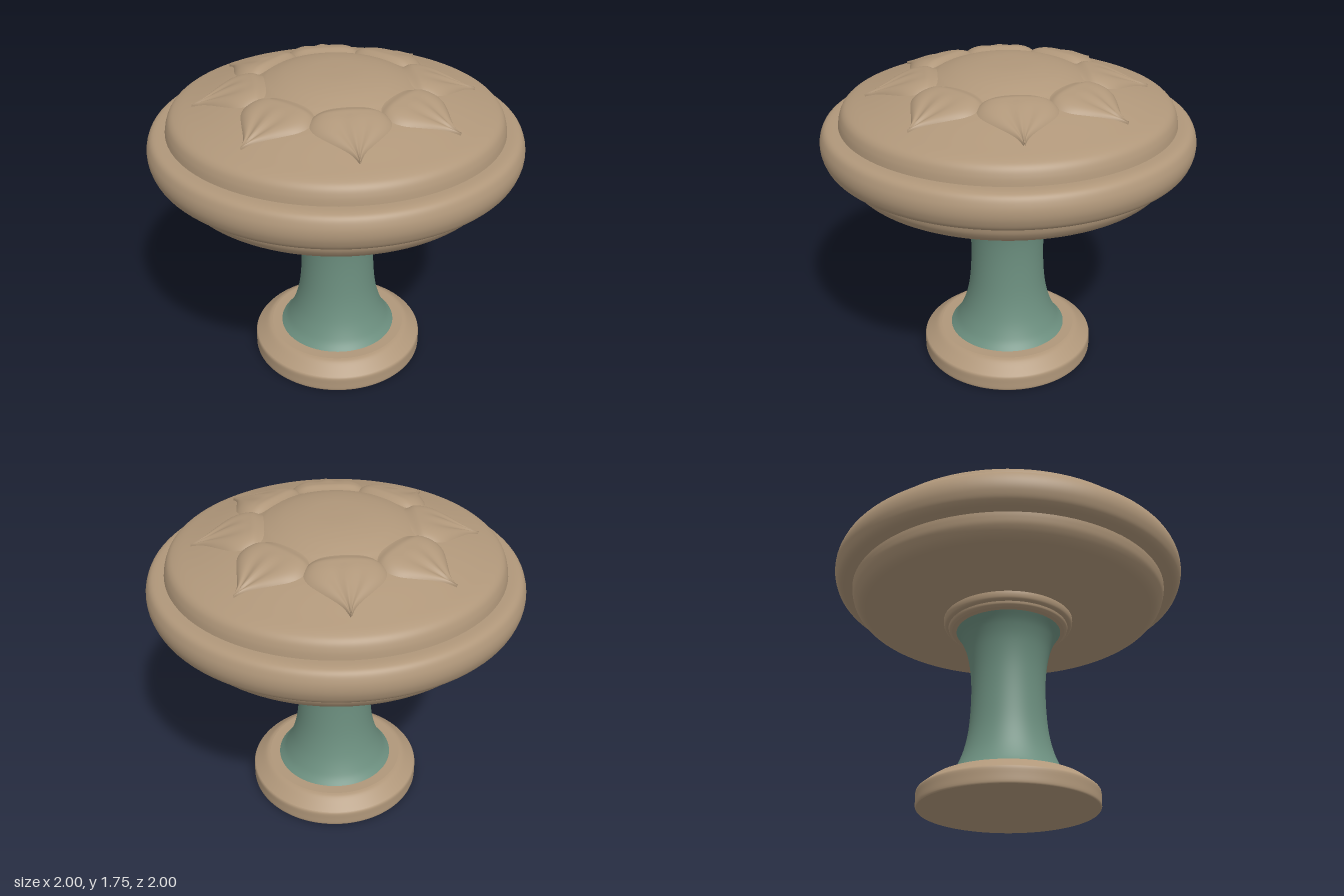
import * as THREE from 'three';

const tan = new THREE.MeshStandardMaterial({ color: 0xb0977a });
tan.name = 'warm tan';
const green = new THREE.MeshStandardMaterial({ color: 0x6c8f7f });
green.name = 'sage green';

const vec = (list) => list.map(([x, y]) => new THREE.Vector2(x, y));
const smooth = (list, n = 48) => new THREE.SplineCurve(vec(list)).getPoints(n);

// Height at x on a polyline with rising x
function sample(points, x) {
  for (let i = 1; i < points.length; i++) {
    const a = points[i - 1], b = points[i];
    if (x <= b.x) return a.y + (b.y - a.y) * Math.max(0, (x - a.x) / (b.x - a.x));
  }
  return points[points.length - 1].y;
}

// Turned part: points run from the bottom upwards
function turned(name, points, material) {
  const mesh = new THREE.Mesh(new THREE.LatheGeometry(points, 96), material);
  mesh.name = name;
  return mesh;
}

// Crown of the knob, from the centre outwards
const crown = smooth([
  [0, 1.75], [0.15, 1.745], [0.27, 1.726], [0.36, 1.697], [0.42, 1.67], [0.5, 1.655],
  [0.6, 1.63], [0.74, 1.585], [0.83, 1.555], [0.87, 1.53], [0.89, 1.49], [0.9, 1.44],
], 80);

// Half width of a petal against its distance from the axis
const petalWidth = smooth([
  [0.35, 0.1], [0.375, 0.15], [0.42, 0.19], [0.48, 0.205], [0.54, 0.185],
  [0.6, 0.13], [0.66, 0.065], [0.7, 0.028], [0.75, 0.002],
], 40);

// Swollen leaf with a midrib between two furrows, laid over the crown
function petalGeometry() {
  const geometry = new THREE.PlaneGeometry(1, 1, 32, 32);
  const p = geometry.attributes.position;
  const step = THREE.MathUtils.smoothstep;
  for (let i = 0; i < p.count; i++) {
    const v = Math.sin(p.getX(i) * Math.PI);
    const t = 0.5 - p.getY(i);
    const z = 0.35 + 0.4 * t;
    const x = v * sample(petalWidth, z);
    const swell = step(t, 0, 0.2) * (1 - 0.55 * step(t, 0.3, 1));
    const rib = step(t, 0.2, 0.65);
    const lobes = 1 - Math.pow(Math.abs(v), 5);
    const furrow = Math.exp(-Math.pow((Math.abs(v) - 0.28) / 0.16, 2));
    const ridge = Math.exp(-Math.pow(v / 0.14, 2));
    const h = 0.042 * swell * lobes + rib * (0.006 * ridge - 0.013 * furrow) * (1 - 0.5 * t) - 0.006;
    p.setXYZ(i, x, sample(crown, Math.hypot(x, z)) + h, z);
  }
  geometry.computeVertexNormals();
  return geometry;
}

export function createModel() {
  const model = new THREE.Group();
  model.name = 'knob';

  // Foot and waisted stem, a hair off the knob's axis
  const pillar = new THREE.Group();
  pillar.name = 'pillar';
  pillar.position.set(0.008, 0, 0.005);
  model.add(pillar);
  pillar.add(
    turned('footUnderside', vec([[0, 0], [0.485, 0]]), tan),
    turned('footSide', smooth([[0.485, 0], [0.49, 0.01], [0.49, 0.045], [0.49, 0.08], [0.484, 0.092]], 12), tan),
    turned('footBevel', smooth([[0.484, 0.092], [0.455, 0.115], [0.415, 0.145], [0.39, 0.153]], 12), tan),
    turned('footTop', vec([[0.39, 0.153], [0.28, 0.153]]), tan),
    turned('stem', smooth([
      [0.335, 0.15], [0.295, 0.2], [0.25, 0.3], [0.22, 0.43], [0.207, 0.6],
      [0.21, 0.76], [0.23, 0.89], [0.262, 0.98], [0.3, 1.04],
    ]), green),
  );

  // Collar under the head
  model.add(
    turned('collarUnderside', vec([[0.2, 1.035], [0.32, 1.035]]), tan),
    turned('collarLip', smooth([[0.32, 1.035], [0.335, 1.045], [0.34, 1.06]], 10), tan),
    turned('collar', smooth([[0.34, 1.06], [0.36, 1.067], [0.368, 1.09], [0.368, 1.12]], 16), tan),
  );

  // Head: lower bowl, bulging rim and domed crown
  model.add(
    turned('bowl', smooth([
      [0.25, 1.103], [0.45, 1.108], [0.65, 1.117], [0.79, 1.13], [0.845, 1.148],
      [0.88, 1.19], [0.893, 1.23], [0.898, 1.27],
    ]), tan),
    turned('rim', smooth([
      [0.87, 1.255], [0.94, 1.257], [0.975, 1.275], [0.994, 1.315], [1, 1.355],
      [0.994, 1.395], [0.975, 1.433], [0.94, 1.449], [0.87, 1.45],
    ]), tan),
    turned('crown', [...crown].reverse(), tan),
  );

  // Ring of eight petals
  const geometry = petalGeometry();
  for (let i = 0; i < 8; i++) {
    const petal = new THREE.Mesh(geometry, tan);
    petal.name = 'petal';
    petal.rotation.y = (i * Math.PI) / 4;
    model.add(petal);
  }
  return model;
}
